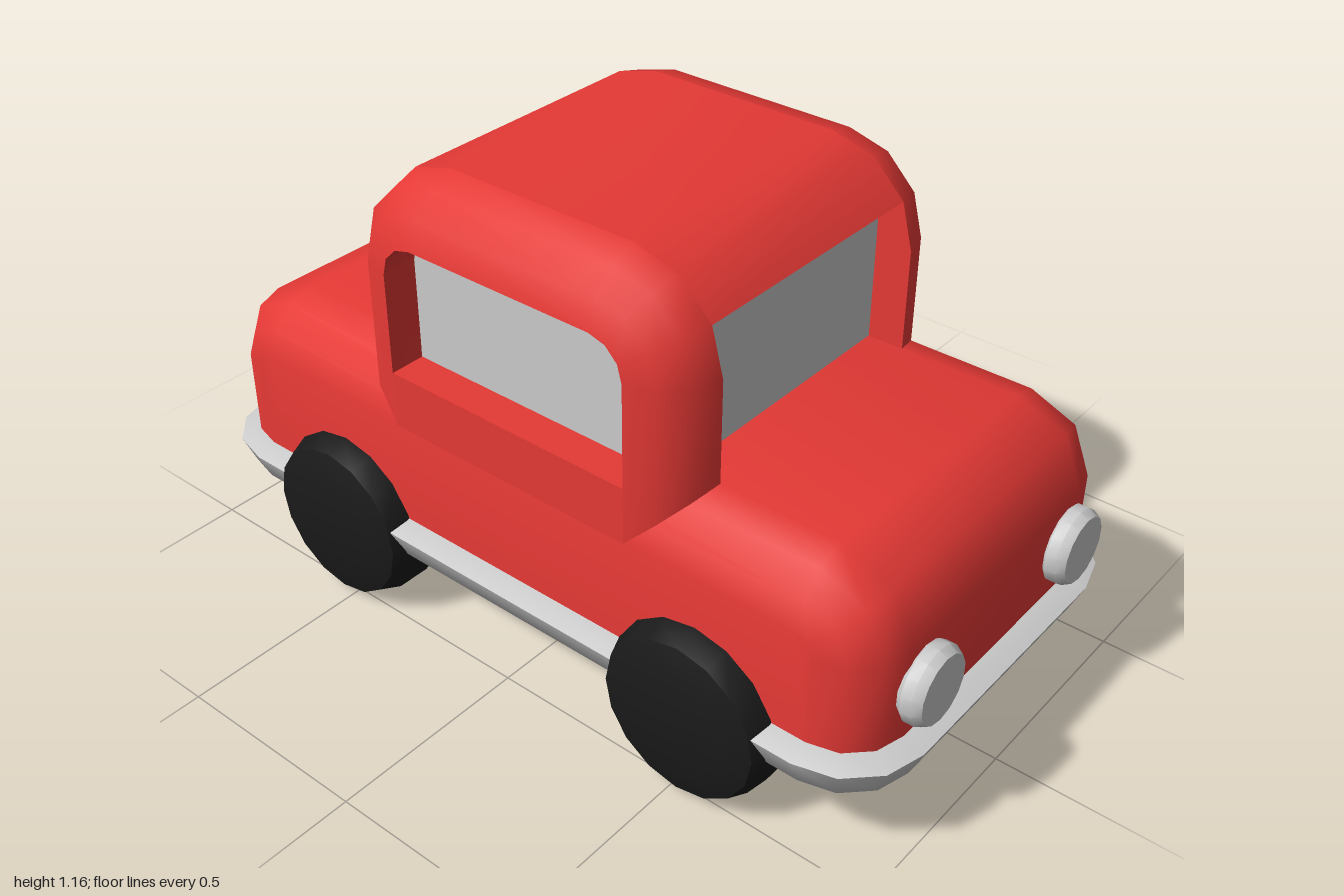
import * as THREE from 'three';
import { toCreasedNormals } from 'three/addons/utils/BufferGeometryUtils.js';

const mat = (color) => new THREE.MeshStandardMaterial({ color, side: THREE.DoubleSide });
const V = (x, y, z) => new THREE.Vector3(x, y, z);

// Skin a row of equally long point rings.
function loft(rings) {
  const n = rings[0].length, index = [];
  for (let r = 0; r < rings.length - 1; r++) {
    for (let i = 0; i < n - 1; i++) {
      const a = r * n + i, b = a + n;
      index.push(a, b, b + 1, a, b + 1, a + 1);
    }
  }
  const geo = new THREE.BufferGeometry().setFromPoints(rings.flat());
  geo.setIndex(index);
  return toCreasedNormals(geo, 0.9);
}

// Arch in the z-y plane with rounded shoulders, inset by d.
function arch({ hz, top, r, seg, base }, d = 0) {
  const half = [[hz - d, base]];
  for (let i = 0; i <= seg; i++) {
    const a = (i / seg) * Math.PI / 2;
    half.push([hz - r + (r - d) * Math.cos(a), top - r + (r - d) * Math.sin(a)]);
  }
  return [...half, ...half.map(([z, y]) => [-z, y]).reverse()];
}
const archRing = (spec, x, d) => arch(spec, d).map(([z, y]) => V(x, y, z));

// Rounded side edge: x from 0.335 to 0.475 while the arch insets by 0.14.
const bevel = [0, 1, 2, 3].map((i) => {
  const a = (i / 3) * Math.PI / 2;
  return [0.335 + 0.14 * Math.sin(a), 0.14 * (1 - Math.cos(a))];
});

// Horizontal rounded rectangle, grown by r around a core rectangle.
function planRing(r, y) {
  const pts = [];
  [[1, -1], [-1, -1], [-1, 1], [1, 1]].forEach(([sx, sz], q) => {
    for (let i = 0; i <= 3; i++) {
      const a = (q + i / 3) * Math.PI / 2;
      pts.push(V(sx * 0.335 + r * Math.cos(a), y, sz * 0.81 - r * Math.sin(a)));
    }
  });
  return [...pts, pts[0].clone()];
}

export function createModel() {
  const car = new THREE.Group();
  const red = mat(0xe53935), grey = mat(0xcccccc), black = mat(0x1a1a1a);
  const add = (name, geo, material, x = 0, y = 0, z = 0) => {
    const mesh = new THREE.Mesh(geo, material);
    mesh.name = name;
    mesh.position.set(x, y, z);
    car.add(mesh);
    return mesh;
  };

  // Lower body, closed at both sides
  const body = { hz: 0.95, top: 0.69, r: 0.18, seg: 2, base: 0.22 };
  const side = bevel.map(([x, d]) => archRing(body, x, d));
  side.push(side[3].map((p) => V(p.x, body.base, p.z)));
  const mirror = (rings) => rings.map((ring) => ring.map((p) => V(-p.x, p.y, p.z))).reverse();
  add('body', loft([...mirror(side), ...side]), red);

  // Cabin side frames with deep window reveals
  const cabin = { hz: 0.475, top: 1.165, r: 0.225, seg: 3, base: 0.45 };
  const frame = [[0.335, 0.09], ...bevel, [0.385, 0.14]].map(([x, d]) => archRing(cabin, x, d));
  add('leftCabinFrame', loft(frame), red);
  add('rightCabinFrame', loft(mirror(frame)), red);

  // Roof between the frames, with sloping window heads
  const roofLine = arch(cabin).slice(2, -2);
  const roofShape = new THREE.Shape(
    [...roofLine, [-0.385, 1.04], [0.385, 1.04]].map(([z, y]) => new THREE.Vector2(z, y)));
  const roof = new THREE.ExtrudeGeometry(roofShape, { depth: 0.67, bevelEnabled: false });
  roof.translate(0, 0, -0.335).rotateY(-Math.PI / 2);
  add('roof', toCreasedNormals(roof, 0.9), red);

  // Panels below the side windows, and the recessed glass
  add('doorPanels', new THREE.BoxGeometry(0.95, 0.14, 0.67), red, 0, 0.62, 0);
  add('windows', new THREE.BoxGeometry(0.77, 0.44, 0.77), grey, 0, 0.82, 0);

  // Bumper all the way round, and the recessed underside
  const bumper = [[0.13, 0.29], [0.14, 0.29], [0.19, 0.27], [0.16, 0.2], [0.08, 0.17]];
  add('bumper', loft(bumper.map(([r, y]) => planRing(r, y))), grey);
  const floor = planRing(0.08, 0.21);
  add('underside', loft([planRing(0.08, 0.17), floor, floor.map((p) => V(0, p.y, p.z))]), red);

  // Wheels: chamfered lathe turned onto the x axis
  const tyre = [[0, -0.118], [0.13, -0.118], [0.215, -0.038], [0.215, 0.047],
    [0.195, 0.097], [0.135, 0.117], [0, 0.117]].map(([r, h]) => new THREE.Vector2(r, h));
  const wheel = toCreasedNormals(new THREE.LatheGeometry(tyre, 16).toNonIndexed(), 0.7);
  wheel.rotateZ(-Math.PI / 2);
  for (const sx of [1, -1]) {
    for (const z of [0.525, -0.525]) {
      const name = (z > 0 ? 'front' : 'rear') + (sx > 0 ? 'Left' : 'Right') + 'Wheel';
      add(name, wheel, black, sx * 0.433, 0.215, z).rotation.y = sx > 0 ? 0 : Math.PI;
    }
  }

  // Headlights with a chamfered rim
  const lamp = [[0.08, 0], [0.092, 0.015], [0.092, 0.04], [0.08, 0.06], [0, 0.06]]
    .map(([r, h]) => new THREE.Vector2(r, h));
  const lampGeo = toCreasedNormals(new THREE.LatheGeometry(lamp, 14).toNonIndexed(), 0.6);
  lampGeo.rotateX(Math.PI / 2);
  for (const sx of [1, -1]) {
    add(sx > 0 ? 'leftHeadlight' : 'rightHeadlight', lampGeo, grey, sx * 0.285, 0.408, 0.94);
  }
  return car;
}
